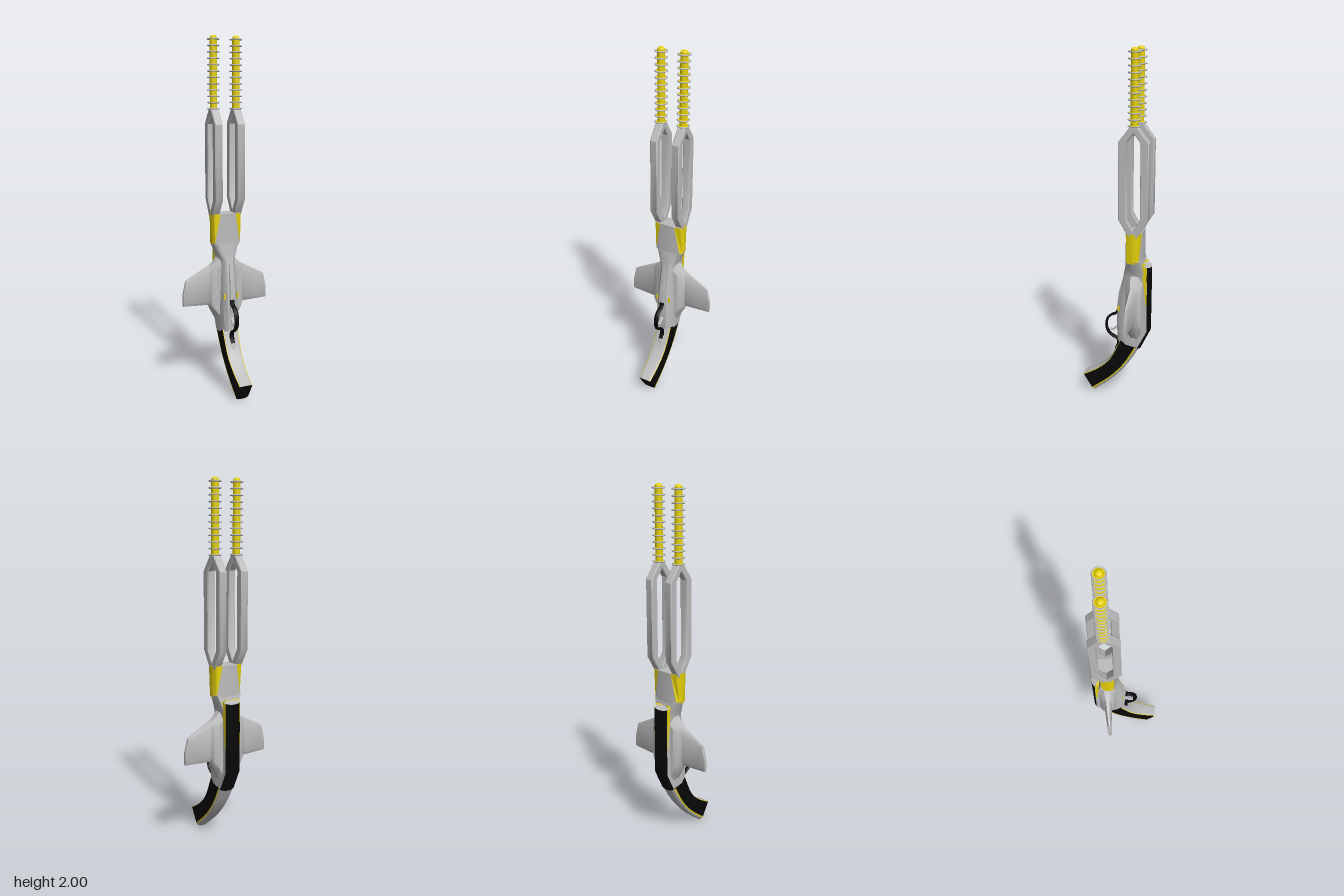
import * as THREE from 'three';
import { toCreasedNormals } from 'three/addons/utils/BufferGeometryUtils.js';

const mat = (name, color) => Object.assign(new THREE.MeshStandardMaterial({ color }), { name });
const V = (x, y, z) => new THREE.Vector3(x, y, z);

export function createModel() {
  const model = new THREE.Group();
  const grey = mat('silver grey', 0xbcbcbc), yellow = mat('yellow', 0xe6d20a), black = mat('black', 0x080808);

  const add = (name, geometry, material) => {
    const m = new THREE.Mesh(geometry, material);
    m.name = name;
    model.add(m);
    return m;
  };

  // Skin closed rings; one material per ring edge, faces turned outward, both ends capped
  function loft(name, rings, edgeMats, capMat = grey, crease = 0.6) {
    const tris = [], n = rings[0].length;
    for (let r = 0; r < rings.length - 1; r++) for (let i = 0; i < n; i++) {
      const j = (i + 1) % n, a = rings[r], b = rings[r + 1];
      const m = Array.isArray(edgeMats) ? edgeMats[i] : edgeMats;
      tris.push([m, a[i], a[j], b[j]], [m, a[i], b[j], b[i]]);
    }
    [rings[0], rings[rings.length - 1]].forEach((ring, end) => {
      const c = ring.reduce((s, p) => s.add(p), V(0, 0, 0)).divideScalar(n);
      ring.forEach((p, i) => {
        const q = ring[(i + 1) % n];
        tris.push(end ? [capMat, c, p, q] : [capMat, c, q, p]);
      });
    });
    const origin = rings[0][0];
    let volume = 0;
    for (const [, a, b, c] of tris) {
      const [u, v, w] = [a, b, c].map(p => p.clone().sub(origin));
      volume += u.dot(v.cross(w));
    }
    const mats = [...new Set(tris.map(t => t[0]))], points = [], geo = new THREE.BufferGeometry();
    mats.forEach((m, k) => {
      const start = points.length;
      for (const [tm, a, b, c] of tris) if (tm === m) points.push(a, ...(volume < 0 ? [c, b] : [b, c]));
      geo.addGroup(start, points.length - start, k);
    });
    geo.setFromPoints(points);
    return add(name, toCreasedNormals(geo, crease), mats);
  }

  // Mirrored ring: half points [x share, front-to-back share] between a front and a back point [z, y]
  function ring(half, hw, [zf, yf], [zb, yb]) {
    const side = s => half.map(([x, t]) => V(s * x * hw, yf + (yb - yf) * t, zf + (zb - zf) * t));
    return [...side(1), ...side(-1).reverse()];
  }
  const edges = (front, half, back) => [...half, back, ...[...half].reverse(), front];

  // Thin plate from an outline
  const plateGeometry = (pts, depth) => new THREE.ExtrudeGeometry(
    new THREE.Shape(pts.map(p => new THREE.Vector2(...p))), { depth, bevelEnabled: false });

  // Twin emitter rods with yellow flanges in grey rims, on square forked prongs
  const rim = new THREE.TorusGeometry(0.0305, 0.004, 8, 28).rotateX(Math.PI / 2);
  const flange = new THREE.CylinderGeometry(0.028, 0.028, 0.005, 28);
  const square = [[1, 0.8], [0.8, 1], [-0.8, 1], [-1, 0.8], [-1, -0.8], [-0.8, -1], [0.8, -1], [1, -0.8]];
  for (const s of [-1, 1]) {
    const x = s * 0.066, z = -0.106;
    add('emitterRod', new THREE.CylinderGeometry(0.02, 0.02, 0.39, 20), yellow).position.set(x, 1.79, z);
    const tip = add('emitterTip', new THREE.SphereGeometry(0.02, 20, 10), yellow);
    tip.scale.y = 0.75;
    tip.position.set(x, 1.985, z);
    for (let i = 0; i < 12; i++) {
      const y = 1.61 + i * 0.0335;
      add('coolingRim', rim, grey).position.set(x, y, z);
      add('coolingFlange', flange, yellow).position.set(x, y, z);
    }
    for (const d of [-1, 1]) {
      const path = [[1.605, 0], [1.525, 0.06], [1.11, 0.06], [1.01, 0]];
      loft('prong', path.map(([y, o]) =>
        square.map(([a, b]) => V(x + 0.022 * a, y, z + d * o + 0.022 * b))), grey);
    }
  }

  // Barrel shroud with yellow wedges narrowing downward on each flank
  const half = pts => [...pts, ...[...pts].reverse().map(([x, t]) => [x, 1 - t])];
  const wide = half([[0.45, 0], [0.5, 0], [0.88, 0.08], [1, 0.35]]);
  const tight = half([[0.6, 0], [0.88, 0.12], [0.97, 0.3], [1, 0.46]]);
  loft('barrelShroud', [
    ring(wide, 0.09, [-0.058, 1.03], [-0.148, 1.03]),
    ring(tight, 0.087, [-0.058, 0.86], [-0.148, 0.86]),
  ], edges(grey, [grey, yellow, yellow, yellow, yellow, yellow, grey], grey));

  // Receiver, flowing from the shroud into the grip
  const hull = [[0.45, 0], [0.8, 0.12], [1, 0.4], [1, 0.75], [0.85, 1]];
  loft('receiver', [
    [0.087, [-0.06, 0.87], [-0.146, 0.87]],
    [0.065, [-0.05, 0.81], [-0.155, 0.82]],
    [0.046, [-0.04, 0.765], [-0.172, 0.765]],
    [0.048, [-0.015, 0.63], [-0.174, 0.63]],
    [0.052, [-0.002, 0.5], [-0.174, 0.45]],
    [0.048, [-0.005, 0.36], [-0.125, 0.33]],
  ].map(r => ring(hull, ...r)), grey);

  // Arched spine: grey top and flanks, black back
  const arch = [[1, 0], [1, 0.62], [0.85, 0.8], [0.5, 0.95], [0.18, 1]];
  loft('backSpine', [
    ring(arch, 0.045, [-0.147, 0.84], [-0.195, 0.825]),
    ring(arch, 0.046, [-0.155, 0.7], [-0.195, 0.7]),
    ring(arch, 0.046, [-0.16, 0.45], [-0.194, 0.435]),
    ring(arch, 0.046, [-0.105, 0.345], [-0.14, 0.32]),
  ], edges(grey, [grey, black, black, black], black));

  // Nose ridge on the receiver front
  const ridge = [[0.3, 0], [1, 1]];
  loft('noseRidge', [
    ring(ridge, 0.008, [-0.04, 0.77], [-0.07, 0.77]),
    ring(ridge, 0.026, [-0.008, 0.65], [-0.06, 0.65]),
    ring(ridge, 0.036, [0.003, 0.54], [-0.06, 0.54]),
    ring(ridge, 0.026, [0, 0.46], [-0.06, 0.46]),
  ], grey);

  for (const s of [-1, 1]) {
    // Swept wing with a bulging root
    const wing = [[0.03, 0.8, 0.36, 0.05], [0.065, 0.755, 0.42, 0.045], [0.093, 0.73, 0.47, 0.034],
      [0.105, 0.725, 0.5, 0.022], [0.2, 0.675, 0.503, 0.013], [0.24, 0.653, 0.505, 0.01], [0.257, 0.58, 0.505, 0.008]];
    loft('wing', wing.map(([x, top, low, t]) => {
      const h = top - low;
      const face = [[top, 0.4], [top - h * 0.12, 1], [low + h * 0.12, 1], [low, 0.4]];
      return [...face.map(([y, k]) => V(s * x, y, -0.108 + t * k)),
        ...face.reverse().map(([y, k]) => V(s * x, y, -0.108 - t * k))];
    }), grey);

    // Yellow flashes: spine flank, spine top corner and receiver front
    const flank = add('sideFlash', plateGeometry([[0.148, 0.84], [0.178, 0.828], [0.178, 0.58]], 0.006), yellow);
    flank.rotation.y = Math.PI / 2;
    flank.position.x = s * 0.045 - 0.003;
    const corner = add('topFlash', plateGeometry([[s * 0.045, 0.15], [s * 0.004, 0.15], [s * 0.045, 0.173]], 0.005), yellow);
    corner.rotation.x = -Math.PI / 2 + 0.3;
    corner.position.set(0, 0.792, -0.007);
    add('frontFlash', new THREE.BoxGeometry(0.008, 0.03, 0.008), yellow).position.set(s * 0.04, 0.565, -0.016);
  }

  // Curved grip: grey front and back, black cheeks edged in yellow
  const gripHalf = [[0.6, 0], [0.9, 0.015], [0.98, 0.035], [1, 0.06], [1, 0.79], [0.98, 0.86], [0.8, 0.95], [0.4, 1]];
  const front = new THREE.SplineCurve([[-0.025, 0.365], [0.035, 0.24], [0.11, 0.165], [0.2, 0.11]]
    .map(p => new THREE.Vector2(...p)));
  const back = new THREE.SplineCurve([[-0.135, 0.325], [-0.07, 0.215], [0.02, 0.105], [0.135, 0.005]]
    .map(p => new THREE.Vector2(...p)));
  const gripRings = Array.from({ length: 13 }, (_, i) => {
    const t = i / 12;
    return ring(gripHalf, 0.048 - 0.01 * t, front.getPoint(t).toArray(), back.getPoint(t).toArray());
  });
  loft('grip', gripRings, edges(grey, [grey, yellow, black, black, yellow, grey, grey], grey), black);

  // Trigger guard with a tail resting on the grip, its lug, and the trigger
  const tube = (name, pts, r, m) => {
    const curve = new THREE.CatmullRomCurve3(pts.map(([z, y]) => V(0, y, z)));
    const t = add(name, new THREE.TubeGeometry(curve, 48, r, 8), m);
    t.scale.x = 2;
    return t;
  };
  tube('triggerGuard', [[-0.002, 0.545], [0.006, 0.518], [0.03, 0.507], [0.057, 0.482], [0.067, 0.44],
    [0.057, 0.398], [0.03, 0.372], [0, 0.355], [-0.004, 0.325], [0.01, 0.29]], 0.007, black);
  tube('trigger', [[-0.01, 0.44], [0.012, 0.425], [0.03, 0.41], [0.05, 0.415]], 0.005, grey);
  const lug = add('guardLug', new THREE.SphereGeometry(1, 20, 12), grey);
  lug.scale.set(0.022, 0.045, 0.009);
  lug.position.set(0, 0.295, 0.002);
  lug.rotation.x = -0.45;

  return model;
}
